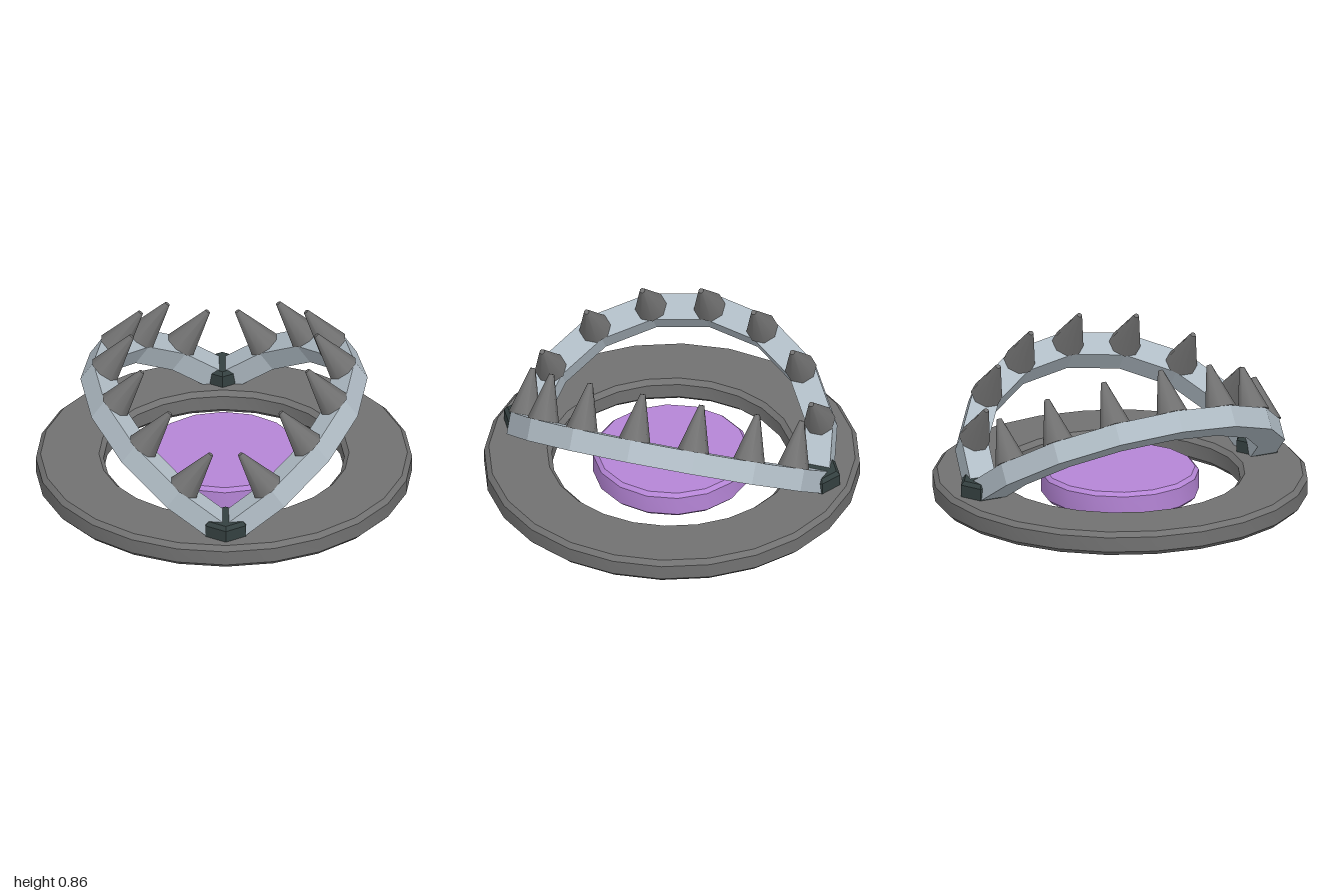
import * as THREE from 'three';
import { toCreasedNormals } from 'three/addons/utils/BufferGeometryUtils.js';

const mat = (name, color) => {
  const m = new THREE.MeshStandardMaterial({ color });
  m.name = name;
  return m;
};

// Turned solid from [radius, height] points, with chamfers kept sharp
const turned = (points, sides) => toCreasedNormals(
  new THREE.LatheGeometry(points.map(([r, y]) => new THREE.Vector2(r, y)), sides), 0.5);

// Disc profile with chamfered rims
const disc = (r, y0, y1, c) =>
  [[0, y0], [r - c, y0], [r, y0 + c], [r, y1 - c], [r - c, y1], [0, y1]];

export function createModel() {
  const iron = mat('iron grey', 0x717171);
  const steel = mat('pale steel', 0xb0bcc5);
  const dark = mat('dark hinge metal', 0x344040);
  const purple = mat('purple', 0xb585d6);

  const model = new THREE.Group();
  const add = (parent, name, geometry, material) => {
    const mesh = new THREE.Mesh(geometry, material);
    mesh.name = name;
    parent.add(mesh);
    return mesh;
  };

  // Base ring, chamfered on all four rims
  add(model, 'baseRing', turned([
    [0.665, 0], [0.975, 0], [1, 0.025], [1, 0.105], [0.975, 0.13],
    [0.665, 0.13], [0.64, 0.105], [0.64, 0.025], [0.665, 0],
  ], 24), iron);

  // Pressure plate in the middle
  add(model, 'pressurePlate', turned(disc(0.42, 0.005, 0.15, 0.02), 16), purple);

  // Hexagonal hinge blocks, front and back
  const hingeGeometry = turned(disc(0.125, 0.005, 0.215, 0.02), 6);
  for (const side of [1, -1]) {
    add(model, side > 0 ? 'frontHinge' : 'backHinge', hingeGeometry, dark)
      .position.z = side * 0.815;
  }

  // Half-ring jaw outline, eight straight segments
  const STEPS = 8, OUTER = 0.89, INNER = 0.74, THICK = 0.12;
  const MID = (OUTER + INNER) / 2;
  const angle = (i) => -Math.PI / 2 + (i / STEPS) * Math.PI;
  const arc = (r) => Array.from({ length: STEPS + 1 }, (_, i) =>
    new THREE.Vector2(r * Math.cos(angle(i)), r * Math.sin(angle(i))));
  const jawGeometry = new THREE.ExtrudeGeometry(
    new THREE.Shape([...arc(OUTER), ...arc(INNER).reverse()]),
    { depth: THICK, bevelEnabled: false });
  jawGeometry.translate(0, 0, -THICK / 2).rotateX(-Math.PI / 2);

  // Blunt tooth standing on the jaw's upper face
  const toothGeometry = new THREE.CylinderGeometry(0.014, 0.086, 0.25, 8);
  toothGeometry.rotateY(Math.PI / 8).translate(0, THICK / 2 + 0.125, 0);

  // Two open jaws, hinged along z and raised 35 degrees
  for (const side of [1, -1]) {
    const turn = new THREE.Group();
    turn.name = side > 0 ? 'leftJaw' : 'rightJaw';
    turn.position.y = 0.13;
    turn.rotation.y = side > 0 ? 0 : Math.PI;
    const tilt = new THREE.Group();
    tilt.name = 'raisedJaw';
    tilt.rotation.z = THREE.MathUtils.degToRad(35);
    turn.add(tilt);
    model.add(turn);

    add(tilt, 'jawBar', jawGeometry, steel);
    for (let i = 1; i < STEPS; i++) {
      add(tilt, 'tooth', toothGeometry, iron)
        .position.set(MID * Math.cos(angle(i)), 0, MID * Math.sin(angle(i)));
    }
  }
  return model;
}
